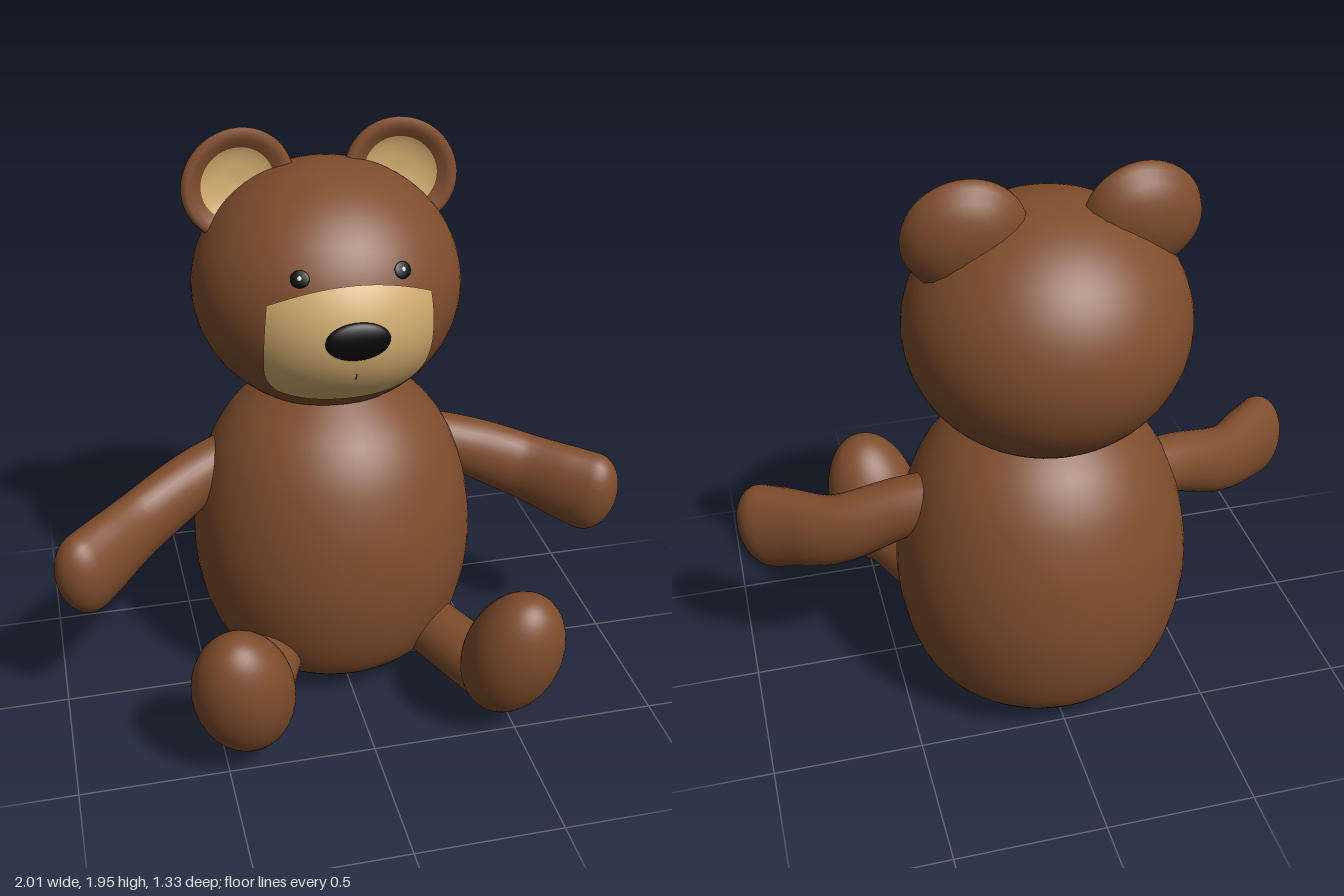
import * as THREE from 'three';

const flat = (name, color) => {
  const m = new THREE.MeshStandardMaterial({ color });
  m.name = name;
  return m;
};

export function createModel() {
  const group = new THREE.Group();
  const fur = flat('brownFur', 0x7f4d2d);
  const tan = flat('tanFur', 0xd2ac70);
  const black = flat('black', 0x060606);
  const white = flat('white', 0xf4f4f4);

  const add = (name, geometry, material, pos = [0, 0, 0], parent = group) => {
    const mesh = new THREE.Mesh(geometry, material);
    mesh.name = name;
    mesh.position.set(...pos);
    parent.add(mesh);
    return mesh;
  };
  const ellipsoid = (rx, ry, rz, seg = 32) =>
    new THREE.SphereGeometry(1, seg, Math.round(seg * 0.7)).scale(rx, ry, rz);
  const lathe = (profile, seg = 48) =>
    new THREE.LatheGeometry(profile.map(p => new THREE.Vector2(...p)), seg);

  // Limb swept through points [x, y, z, half width, half height], with a rounded far end
  const limb = (points, round) => {
    const curve = new THREE.CatmullRomCurve3(points.map(p => new THREE.Vector3(p[0], p[1], p[2])), false, 'centripetal');
    const length = curve.getLength(), rings = 48, sides = 28, pos = [], index = [];
    const up = new THREE.Vector3(0, 1, 0);
    for (let i = 0; i <= rings; i++) {
      // Rings crowd towards the far end so its cap is smooth
      const t = 1 - Math.pow(1 - i / rings, 2);
      const c = curve.getPoint(t), dir = curve.getTangent(t);
      const side = dir.clone().cross(up).normalize(), top = side.clone().cross(dir);
      const f = t * (points.length - 1), k = Math.min(Math.floor(f), points.length - 2);
      const left = Math.min(1, (1 - t) * length / round);
      const cap = Math.sqrt(Math.max(0, 1 - (1 - left) ** 2));
      const w = THREE.MathUtils.lerp(points[k][3], points[k + 1][3], f - k) * cap;
      const h = THREE.MathUtils.lerp(points[k][4], points[k + 1][4], f - k) * cap;
      for (let j = 0; j < sides; j++) {
        const a = j / sides * Math.PI * 2;
        const p = c.clone().addScaledVector(side, Math.cos(a) * w).addScaledVector(top, Math.sin(a) * h);
        pos.push(p.x, p.y, p.z);
        if (i < rings) {
          const n = (j + 1) % sides, A = i * sides + j, B = i * sides + n;
          index.push(A, A + sides, B, B, A + sides, B + sides);
        }
      }
    }
    const g = new THREE.BufferGeometry();
    g.setAttribute('position', new THREE.Float32BufferAttribute(pos, 3));
    g.setIndex(index);
    g.computeVertexNormals();
    return g;
  };

  // Pear-shaped body
  const bodyCurve = new THREE.SplineCurve([
    [0.2, 0.005], [0.3, 0.045], [0.39, 0.12], [0.445, 0.23], [0.478, 0.38], [0.486, 0.53],
    [0.465, 0.7], [0.415, 0.86], [0.35, 0.97], [0.28, 1.04], [0.2, 1.1],
  ].map(p => new THREE.Vector2(...p)));
  const bodyProfile = [[0, 0], [0.19, 0], ...bodyCurve.getPoints(40).map(p => [p.x, p.y])];
  add('body', lathe(bodyProfile, 56).scale(1.02, 1, 1), fur, [0, 0, -0.17]);

  // Head
  const C = [-0.003, 1.425, -0.225], R = [0.454, 0.418, 0.44];
  const faceZ = (x, y) =>
    C[2] + R[2] * Math.sqrt(Math.max(0, 1 - ((x - C[0]) / R[0]) ** 2 - ((y - C[1]) / R[1]) ** 2));
  add('head', ellipsoid(...R, 64), fur, C);

  // Muzzle patch following the face with a soft bulge
  const muzzle = new THREE.PlaneGeometry(2, 2, 32, 32), mp = muzzle.attributes.position;
  for (let i = 0; i < mp.count; i++) {
    const u = mp.getX(i), v = mp.getY(i);
    const half = 0.278 - 0.012 * v * v - (v < 0 ? 0.04 * v ** 4 : 0);
    const top = 1.58 - 0.068 * u * u, bottom = 1.152 + 0.025 * u ** 4;
    const x = u * half - 0.003, y = THREE.MathUtils.lerp(bottom, top, (v + 1) / 2);
    mp.setXYZ(i, x, y, faceZ(x, y) + 0.005 + 0.028 * (1 - u ** 2) * (1 - v ** 2));
  }
  muzzle.computeVertexNormals();
  add('muzzle', muzzle, tan);

  // Nose and mouth line
  add('nose', ellipsoid(0.105, 0.064, 0.026), black, [-0.003, 1.413, 0.239]);
  const mouth = add('mouthLine', new THREE.BoxGeometry(0.004, 0.06, 0.004), black, [-0.003, 1.3, 0.222]);
  mouth.rotation.x = 0.26;

  // Eyes with tiny highlights
  for (const s of [-1, 1]) {
    const x = s * 0.164 - 0.002, y = 1.598, z = faceZ(x, y);
    const eye = new THREE.Group();
    eye.name = s > 0 ? 'leftEye' : 'rightEye';
    eye.position.set(x, y, z);
    eye.lookAt(x + (x - C[0]) / R[0] ** 2, y + (y - C[1]) / R[1] ** 2, z + (z - C[2]) / R[2] ** 2);
    group.add(eye);
    add('pupil', ellipsoid(0.031, 0.028, 0.007, 20), black, [0, 0, 0], eye);
    add('highlight', ellipsoid(0.008, 0.008, 0.003, 10), white, [0, 0.002, 0.006], eye);
  }

  // Ears: domed back, rounded rim, tan bowl
  for (const s of [-1, 1]) {
    const ear = new THREE.Group();
    ear.name = s > 0 ? 'leftEar' : 'rightEar';
    ear.position.set(s * 0.273 - 0.01, 1.77, -0.272);
    ear.rotation.set(-0.12, -s * 0.07, -s * 0.5);
    group.add(ear);
    const shell = [[0, -0.1], [0.05, -0.097], [0.1, -0.086], [0.145, -0.062], [0.176, -0.03],
      [0.187, 0], [0.184, 0.014], [0.17, 0.02], [0.148, 0.014], [0.121, -0.004]];
    const bowl = [[0.121, -0.004], [0.1, -0.015], [0.06, -0.025], [0, -0.029]];
    add('earShell', lathe(shell).rotateX(Math.PI / 2).scale(1.03, 0.97, 1), fur, [0, 0, 0], ear);
    add('earInside', lathe(bowl).rotateX(Math.PI / 2).scale(1.03, 0.97, 1), tan, [0, 0, 0], ear);
  }

  // Arms, posed slightly differently
  add('leftArm', limb([
    [0.3, 0.81, -0.21, 0.09, 0.095], [0.48, 0.765, -0.175, 0.092, 0.105],
    [0.69, 0.68, -0.125, 0.088, 0.125], [0.84, 0.64, -0.02, 0.095, 0.148], [0.985, 0.605, 0.085, 0.1, 0.165],
  ], 0.12), fur);
  add('rightArm', limb([
    [-0.3, 0.81, -0.23, 0.09, 0.095], [-0.48, 0.765, -0.155, 0.092, 0.105],
    [-0.69, 0.675, -0.05, 0.088, 0.125], [-0.83, 0.635, 0.07, 0.095, 0.148], [-0.975, 0.6, 0.2, 0.1, 0.165],
  ], 0.12), fur);

  // Legs and upright, splayed feet
  for (const s of [-1, 1]) {
    const name = s > 0 ? 'left' : 'right', off = 0.016;
    add(name + 'Leg', limb([
      [s * 0.23 + off, 0.19, -0.02, 0.105, 0.103], [s * 0.34 + off, 0.19, 0.24, 0.108, 0.104],
      [s * 0.45 + off, 0.19, 0.5, 0.11, 0.104],
    ], 0.08), fur);
    const foot = add(name + 'Foot', ellipsoid(0.169, 0.263, 0.155, 40), fur, [s * 0.458 + off, 0.327, 0.5]);
    foot.rotation.set(0.28, 0, -s * 0.15);
  }
  return group;
}
